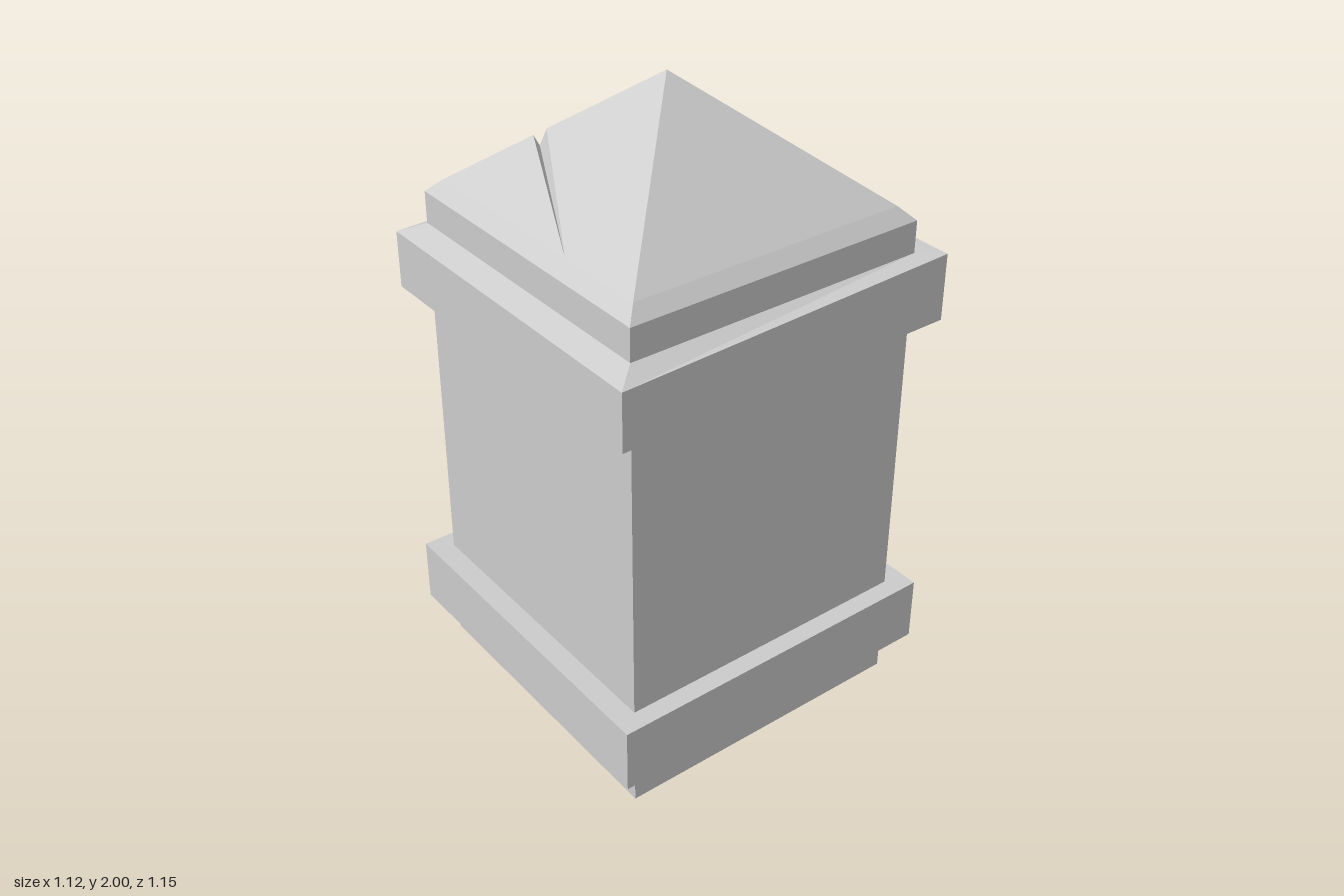
import * as THREE from 'three';

const stone = new THREE.MeshStandardMaterial({ color: 0xcccccc, flatShading: true, side: THREE.DoubleSide });
const frameStone = new THREE.MeshStandardMaterial({ color: 0xd2c6be, flatShading: true });
const green = new THREE.MeshStandardMaterial({ color: 0x7fb87a, flatShading: true });

const ZC = 0.0225; // depth centre of the pillar
const V = (x, y, z) => new THREE.Vector3(x, y, z);

function fromTriangles(points) {
  const g = new THREE.BufferGeometry().setFromPoints(points);
  g.computeVertexNormals();
  return g;
}

// Joins closed rings of points (counter-clockwise seen from the last ring's side)
function loft(rings, capStart = false) {
  const tris = [];
  for (let s = 0; s < rings.length - 1; s++) {
    const a = rings[s], b = rings[s + 1], n = a.length;
    for (let i = 0; i < n; i++) {
      const j = (i + 1) % n;
      tris.push(a[i], a[j], b[j], a[i], b[j], b[i]);
    }
  }
  if (capStart) {
    const r = rings[0];
    for (let i = 1; i < r.length - 1; i++) tris.push(r[0], r[i + 1], r[i]);
  }
  return fromTriangles(tris);
}

// Plan outline of the pillar at one height, with the crack notched into the back
function section(hx, hz, y, [a, tip, b], depth = 0.035, tilt = 0) {
  const zf = ZC + hz, zb = ZC - hz;
  return [[-hx, zf], [hx, zf], [hx, zb], [a, zb], [tip, zb + depth], [b, zb], [-hx, zb]]
    .map(([x, z]) => V(x, y - tilt * (hx - x) / (2 * hx), z));
}

// Outline of a polyline stroke with mitred corners
function strokeOutline(path, half) {
  const p = path.map(([x, y]) => new THREE.Vector2(x, y));
  const left = [], right = [];
  p.forEach((q, i) => {
    const d0 = (i > 0 ? q.clone().sub(p[i - 1]) : p[1].clone().sub(q)).normalize();
    const d1 = (i < p.length - 1 ? p[i + 1].clone().sub(q) : d0.clone()).normalize();
    const n0 = new THREE.Vector2(-d0.y, d0.x), n1 = new THREE.Vector2(-d1.y, d1.x);
    const m = n0.clone().add(n1).normalize();
    m.multiplyScalar(half / m.dot(n0));
    left.push(q.clone().add(m));
    right.unshift(q.clone().sub(m));
  });
  return [...left, ...right];
}

export function createModel() {
  const group = new THREE.Group();
  const add = (name, geometry, material) => {
    const mesh = new THREE.Mesh(geometry, material);
    mesh.name = name;
    group.add(mesh);
  };

  // Pillar: stacked blocks and two projecting bands, all split by the crack
  const body = (y, crack, d) => section(0.49, 0.4925, y, crack, d);
  const band = (y, crack, tilt) => section(0.56, 0.5525, y, crack, 0.04, tilt);
  const low = [-0.19, -0.22, -0.26], high = [-0.03, -0.05, -0.08];
  const top = [-0.04, -0.08, -0.10], eave = [-0.10, -0.13, -0.16];
  const foot = body(0.13, low), lowerTop = body(0.34, low);
  const shaftTop = body(1.29, high), bandTop = body(1.5, top);
  add('foot', loft([body(0, [-0.18, -0.21, -0.24]), foot], true), stone);
  add('lowerBand', loft([foot, band(0.13, low), band(0.34, low), lowerTop]), stone);
  add('shaft', loft([lowerTop, shaftTop]), stone);
  add('upperBand', loft([shaftTop, band(1.29, high), band(1.5, top, 0.03), bandTop]), stone);
  const rim = section(0.45, 0.4525, 1.64, [-0.10, -0.14, -0.18], 0.05);
  add('cap', loft([bandTop, body(1.6, eave), rim]), stone);

  // Roof: four slopes, with the crack running over the back and right ones
  const apex = V(0, 2, ZC);
  const [fr, fl, bl, crackA, crackFloor, crackB, br] = rim;
  const onRoof = (x, z, drop = 0) =>
    V(x, 1.64 + 0.8 * Math.min(0.45 - Math.abs(x), 0.4525 - Math.abs(z - ZC)) - drop, z);
  const ridgeA = onRoof(-0.235, -0.214), ridgeB = onRoof(-0.262, -0.241);
  const ridgeFloor = onRoof(-0.25, -0.229, 0.04);
  const crackEnd = V(-0.45, 1.64, 0.18);
  add('roof', fromTriangles([
    fr, fl, apex, fl, bl, apex,
    bl, crackA, apex, crackA, ridgeA, apex,
    crackB, br, ridgeB,
    br, crackEnd, ridgeB,
    crackEnd, fr, apex, crackEnd, apex, ridgeA,
  ]), stone);
  add('roofCrack', fromTriangles([
    crackA, crackFloor, ridgeFloor, crackA, ridgeFloor, ridgeA,
    crackFloor, crackB, ridgeB, crackFloor, ridgeB, ridgeFloor,
    ridgeA, ridgeFloor, crackEnd, ridgeFloor, ridgeB, crackEnd,
  ]), stone);

  // Back panel: tapering moulded frame
  const trapezoid = (inset) => {
    const b = 0.37 - inset, t = 0.31 - inset, y0 = 0.48 + inset, y1 = 1.18 - inset;
    return [[b, y0], [-b, y0], [-t, y1], [t, y1]];
  };
  const profile = [[0, -0.46], [0, -0.525], [0.02, -0.54], [0.03, -0.567], [0.045, -0.575], [0.055, -0.575], [0.085, -0.555]];
  add('panelFrame', loft(profile.map(([inset, z]) => trapezoid(inset).map(([x, y]) => V(x, y, z)))), frameStone);

  // Panel face with a sunken angular spiral
  const spiral = strokeOutline([[-0.21, 0.67], [-0.175, 1.01], [0.165, 1.01], [0.245, 0.6],
    [-0.125, 0.6], [-0.085, 0.86], [0.085, 0.86], [0.1, 0.73]], 0.024);
  const face = new THREE.Shape(trapezoid(0.084).map(([x, y]) => new THREE.Vector2(x, y)));
  face.holes.push(new THREE.Path(spiral));
  const faceGeometry = new THREE.ExtrudeGeometry(face, { depth: 0.025, bevelEnabled: false });
  add('panelFace', faceGeometry.translate(0, 0, -0.555), [frameStone, green]);
  const floor = new THREE.ExtrudeGeometry(new THREE.Shape(spiral), { depth: 0.01, bevelEnabled: false });
  add('spiralInlay', floor.translate(0, 0, -0.53), green);

  return group;
}
